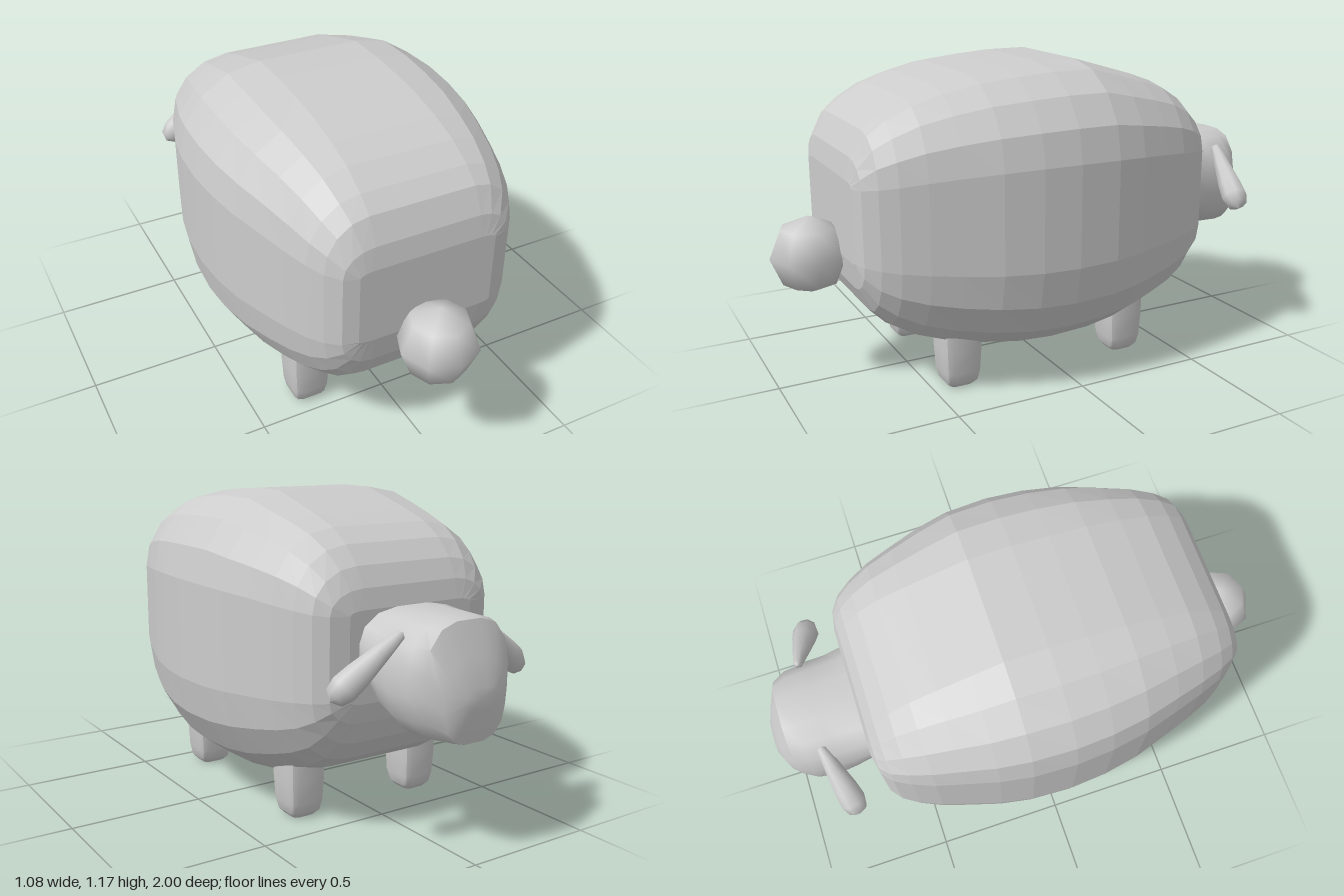
import * as THREE from 'three';
import { toCreasedNormals } from 'three/addons/utils/BufferGeometryUtils.js';

// Skin closed rings (counter-clockwise in xy, stations from high z to low z) and cap both ends
function loft(rings) {
  const n = rings[0].length, pos = [], idx = [];
  rings.forEach(r => r.forEach(p => pos.push(...p)));
  for (let i = 0; i < rings.length - 1; i++) {
    for (let j = 0; j < n; j++) {
      const k = (j + 1) % n, a = i * n, b = a + n;
      idx.push(a + j, b + j, a + k, a + k, b + j, b + k);
    }
  }
  [0, rings.length - 1].forEach(i => {
    const c = [0, 1, 2].map(d => rings[i].reduce((s, p) => s + p[d], 0) / n);
    const ci = pos.length / 3;
    pos.push(...c);
    for (let j = 0; j < n; j++) {
      const k = (j + 1) % n;
      if (i === 0) idx.push(ci, j, k);
      else idx.push(ci, i * n + k, i * n + j);
    }
  });
  const g = new THREE.BufferGeometry();
  g.setAttribute('position', new THREE.Float32BufferAttribute(pos, 3));
  g.setIndex(idx);
  return g;
}

// Box-like ring: flat sides from lo to hi, flat top and bottom out to x = f, elliptical corners
function ring(z, w, top, bot, hi, lo, f, steps = 4) {
  const pts = [];
  const corners = [[1, hi, top - hi], [-1, hi, top - hi], [-1, lo, lo - bot], [1, lo, lo - bot]];
  corners.forEach(([sx, cy, ry], q) => {
    for (let s = 0; s <= steps; s++) {
      const t = (q + s / steps) * Math.PI / 2;
      pts.push([sx * f + (w - f) * Math.cos(t), cy + ry * Math.sin(t), z]);
    }
  });
  return pts;
}

export function createModel() {
  const model = new THREE.Group();
  const wool = new THREE.MeshStandardMaterial({ color: 0xcccccc });
  wool.name = 'light grey';
  const add = (name, geometry, x = 0, y = 0, z = 0) => {
    const m = new THREE.Mesh(geometry, wool);
    m.name = name;
    m.position.set(x, y, z);
    model.add(m);
    return m;
  };

  // Faceted woolly body: z, half width, top, bottom
  const bodyRings = [
    [0.77, 0.26, 0.81, 0.52], [0.755, 0.315, 0.89, 0.42], [0.71, 0.36, 0.98, 0.33],
    [0.65, 0.395, 1.03, 0.27], [0.56, 0.43, 1.08, 0.215], [0.45, 0.465, 1.115, 0.175],
    [0.32, 0.505, 1.145, 0.145], [0.18, 0.53, 1.16, 0.122], [0.04, 0.54, 1.17, 0.115],
    [-0.12, 0.532, 1.17, 0.122], [-0.24, 0.51, 1.135, 0.14], [-0.36, 0.475, 1.10, 0.175],
    [-0.46, 0.445, 1.065, 0.215], [-0.54, 0.41, 1.015, 0.265], [-0.6, 0.375, 0.95, 0.34],
    [-0.635, 0.33, 0.88, 0.42], [-0.65, 0.26, 0.81, 0.49],
  ].map(([z, w, top, bot]) => {
    const u = (z - 0.06) / 0.71, rise = 0.06 * (1 - u * u);
    const hi = 0.795 + rise, lo = (z > 0 ? 0.53 : 0.51) - (z > 0 ? 0.05 : 0.03) * (1 - u * u);
    return ring(z, w, top, bot, hi, lo, 0.2);
  });
  const body = loft(bodyRings).toNonIndexed();
  body.computeVertexNormals();
  add('body', body);

  // Head: z, half width, top, bottom
  const headRings = [
    [-0.6, 0.225, 0.81, 0.56], [-0.66, 0.222, 0.81, 0.53], [-0.72, 0.217, 0.81, 0.45],
    [-0.79, 0.215, 0.81, 0.41], [-0.88, 0.205, 0.81, 0.405], [-0.93, 0.175, 0.805, 0.405],
    [-0.97, 0.13, 0.69, 0.41], [-1.0, 0.065, 0.60, 0.53],
  ].map(([z, w, top, bot]) => {
    const mid = (top + bot) / 2, band = (top - bot) * 0.1;
    return ring(z, w, top, bot, mid + band, mid - band, w * 0.3, 3);
  });
  add('head', toCreasedNormals(loft(headRings), 0.7));

  // Drooping club-shaped ears
  const earProfile = [[0, 0], [0.018, 0.01], [0.032, 0.1], [0.046, 0.2], [0.05, 0.26],
    [0.038, 0.3], [0, 0.32]].map(p => new THREE.Vector2(...p));
  const earGeometry = new THREE.LatheGeometry(earProfile, 8);
  for (const s of [1, -1]) {
    const ear = add(s > 0 ? 'leftEar' : 'rightEar', earGeometry, s * 0.165 + 0.013, 0.765, -0.82);
    const dir = new THREE.Vector3(s * 0.235, -0.2, 0.055).normalize();
    ear.quaternion.setFromUnitVectors(new THREE.Vector3(0, 1, 0), dir);
  }

  // Round tail
  add('tail', new THREE.SphereGeometry(0.145, 8, 4), -0.003, 0.5, 0.855);

  // Short legs with rounded square section: height, half width
  const legRings = [[0.3, 0.077], [0.15, 0.076], [0.06, 0.071], [0.018, 0.062], [0, 0.045]]
    .map(([h, r]) => ring(h, r, r, -r, r * 0.6, -r * 0.6, r * 0.6, 2));
  const legGeometry = toCreasedNormals(loft(legRings).rotateX(-Math.PI / 2), 0.6);
  for (const [x, side] of [[0.245, 'left'], [-0.277, 'right']]) {
    add(side + 'FrontLeg', legGeometry, x, 0, -0.315);
    add(side + 'HindLeg', legGeometry, x, 0, 0.39);
  }
  return model;
}
